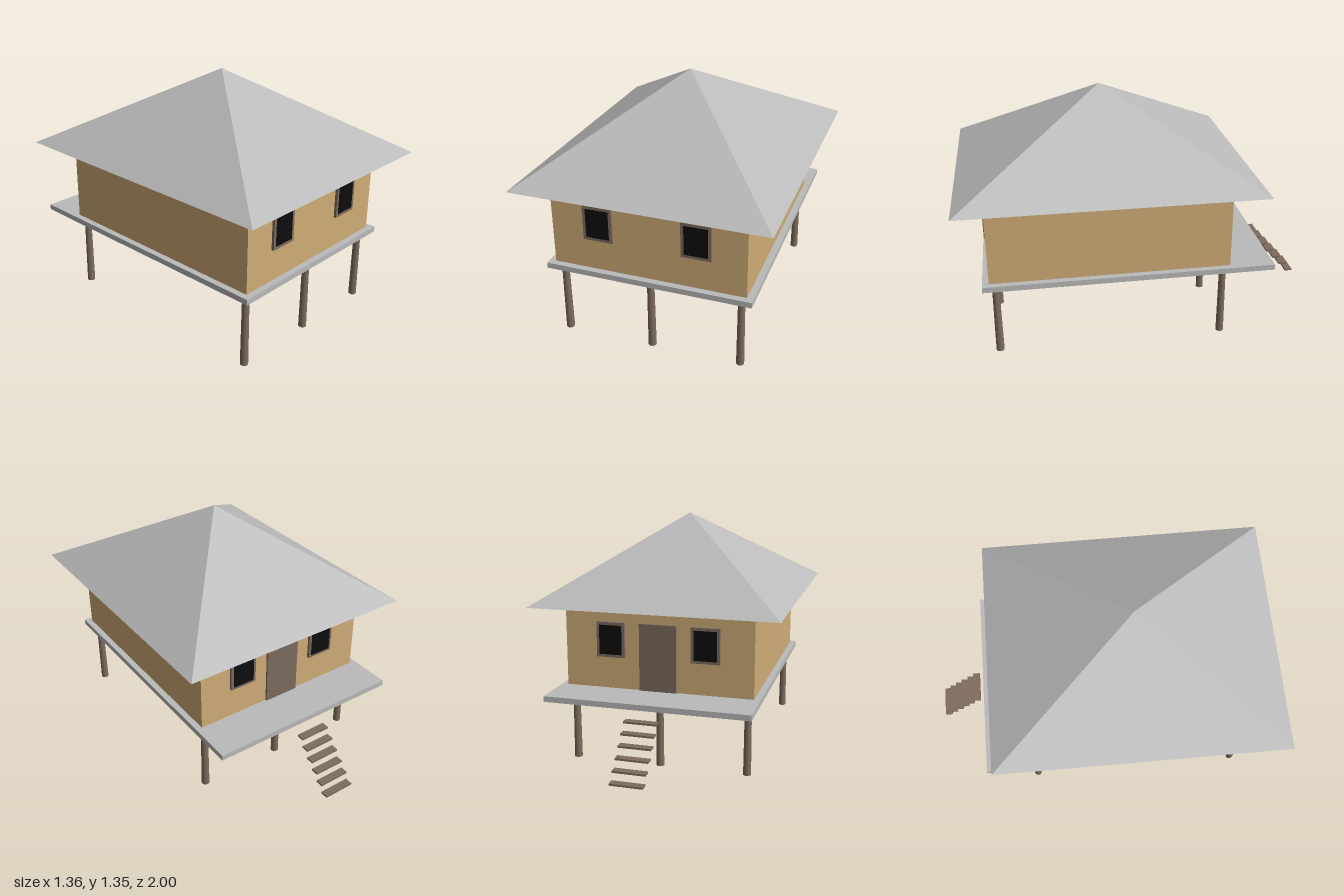
import * as THREE from 'three';

export function createModel() {
  const model = new THREE.Group();
  const mat = (name, color) => {
    const m = new THREE.MeshStandardMaterial({ color });
    m.name = name;
    return m;
  };
  const wallTan = mat('wallTan', 0xd0ad77);
  const concreteGrey = mat('concreteGrey', 0xbababa);
  concreteGrey.side = THREE.DoubleSide; // the roof shell is open underneath
  const woodBrown = mat('woodBrown', 0x7e6c5e);
  const glassBlack = mat('glassBlack', 0x0d0d0d);

  const add = (name, geometry, material, x, y, z, parent = model) => {
    const mesh = new THREE.Mesh(geometry, material);
    mesh.name = name;
    mesh.position.set(x, y, z);
    parent.add(mesh);
    return mesh;
  };
  // Box given by its limits on each axis
  const box = (name, material, [x0, x1], [y0, y1], [z0, z1], parent) =>
    add(name, new THREE.BoxGeometry(x1 - x0, y1 - y0, z1 - z0), material,
      (x0 + x1) / 2, (y0 + y1) / 2, (z0 + z1) / 2, parent);

  // Platform and house body
  box('platform', concreteGrey, [-0.56, 0.56], [0.405, 0.436], [-0.71, 0.88]);
  box('walls', wallTan, [-0.525, 0.525], [0.436, 0.892], [-0.465, 0.845]);

  // Hollow four-sided hip roof
  const roof = new THREE.ConeGeometry(Math.SQRT2, 0.457, 4, 1, true)
    .rotateY(Math.PI / 4).scale(0.68, 1, 0.815).toNonIndexed();
  roof.computeVertexNormals();
  add('roof', roof, concreteGrey, 0, 0.892 + 0.457 / 2, 0.185);

  // Tapered stilts, three at the front and three at the back
  const stilt = new THREE.CylinderGeometry(0.019, 0.022, 0.405, 12);
  for (const z of [0.812, -0.432])
    for (const x of [-0.49, 0, 0.49]) add('stilt', stilt, woodBrown, x, 0.2025, z);

  // Windows: a wooden frame with a thin dark pane on its face
  const addWindow = (x, wallZ, dir, paneOut) => {
    const win = new THREE.Group();
    win.name = dir > 0 ? 'frontWindow' : 'backWindow';
    win.position.set(x, 0.709, wallZ);
    win.rotation.y = dir > 0 ? 0 : Math.PI;
    model.add(win);
    box('windowFrame', woodBrown, [-0.079, 0.079], [-0.097, 0.097], [0, 0.014], win);
    box('windowPane', glassBlack, [-0.063, 0.063], [-0.081, 0.081], [0.012, 0.014 + paneOut], win);
  };
  for (const x of [-0.264, 0.264]) {
    addWindow(x, 0.845, 1, 0.001);
    addWindow(x, -0.465, -1, 0.004);
  }

  // Back door
  box('door', woodBrown, [-0.103, 0.103], [0.436, 0.806], [-0.475, -0.465]);

  // Floating stair treads down from the platform
  const tread = new THREE.BoxGeometry(0.176, 0.01, 0.043);
  for (let i = 0; i < 6; i++)
    add('stairTread', tread, woodBrown, 0, 0.361 - i * 0.049, -0.76 - i * 0.0437);

  return model;
}
